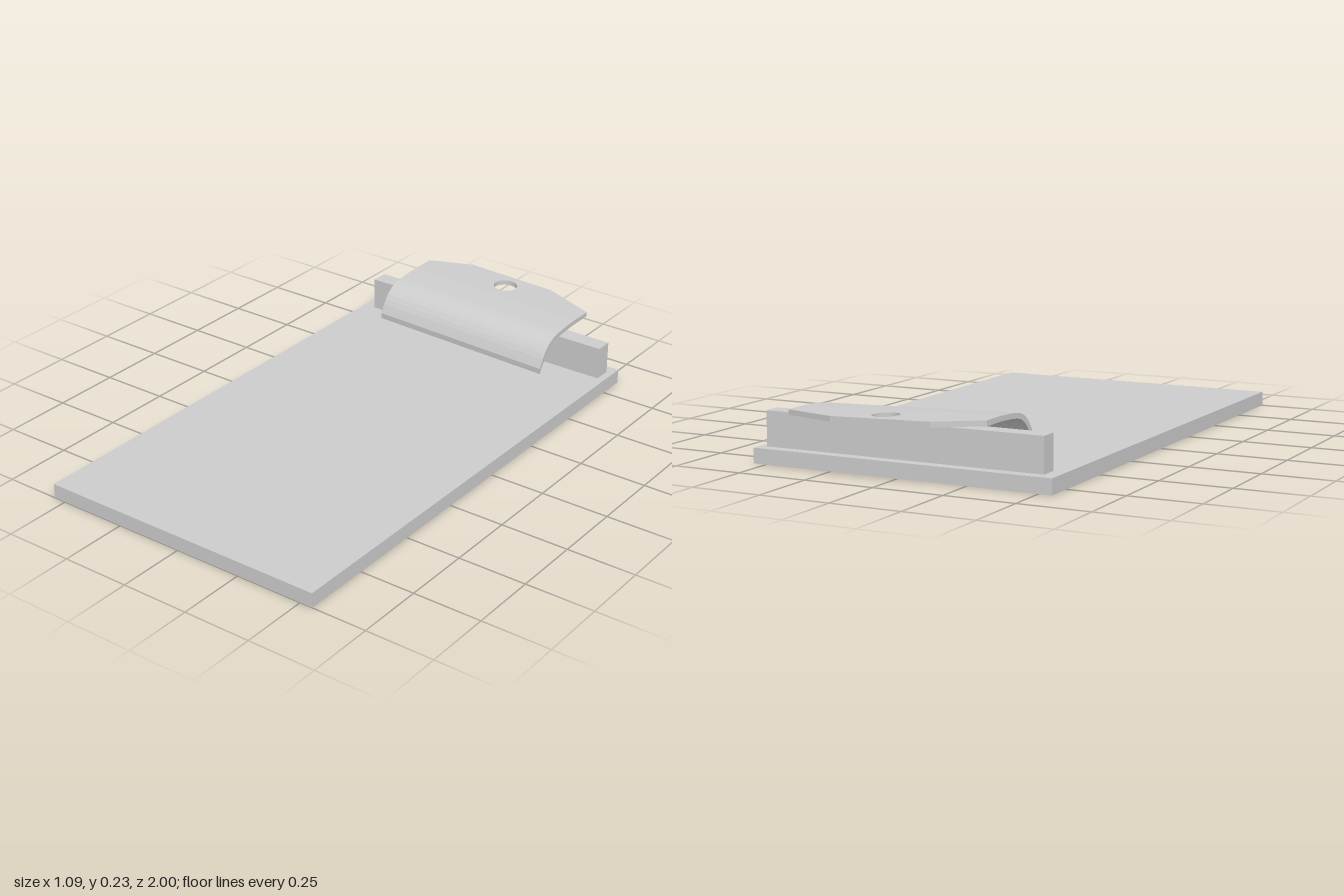
import * as THREE from 'three';

const material = new THREE.MeshStandardMaterial({ color: 0xcccccc, flatShading: true });

function part(name, geometry, parent) {
  const mesh = new THREE.Mesh(geometry, material);
  mesh.name = name;
  parent.add(mesh);
  return mesh;
}

// Box given by its minimum and maximum corners
function box(name, min, max, parent) {
  const size = max.map((v, i) => v - min[i]);
  const mesh = part(name, new THREE.BoxGeometry(...size), parent);
  mesh.position.set(...max.map((v, i) => (v + min[i]) / 2));
}

const points = (list) => list.map(([x, y]) => new THREE.Vector2(x, y));

export function createModel() {
  const model = new THREE.Group();
  model.name = 'clipboard';

  box('board', [-0.547, 0, -0.85], [0.547, 0.053, 1], model);
  box('clipBar', [-0.5, 0.053, -0.81], [0.52, 0.174, -0.745], model);

  // Clip, leaning slightly to one side
  const clip = new THREE.Group();
  clip.name = 'clip';
  clip.rotation.z = -0.03;
  model.add(clip);
  const left = -0.37, right = 0.35, seam = 0.83, top = 0.218, thickness = 0.018;

  // Curved lip: profile in (-z, y), swept across the width
  const outer = new THREE.SplineCurve(points([
    [0.609, 0.107], [0.628, 0.148], [0.658, 0.184], [0.7, 0.206], [0.76, 0.214], [seam, top],
  ])).getPoints(12);
  const inner = new THREE.SplineCurve(points([
    [seam, top - thickness], [0.76, 0.196], [0.705, 0.188], [0.668, 0.167], [0.638, 0.132], [0.611, 0.085],
  ])).getPoints(12);
  const lip = new THREE.ExtrudeGeometry(new THREE.Shape([...outer, ...inner]), {
    depth: right - left, bevelEnabled: false,
  });
  lip.rotateY(Math.PI / 2);
  lip.translate(left, 0, 0);
  part('clipLip', lip, clip);

  // Flat press plate with cut corners and a hanging hole, drawn in (x, -z)
  const outline = new THREE.Shape(points([
    [left, seam], [right, seam], [right, 0.925], [0.145, 1], [-0.215, 1], [left, 0.925],
  ]));
  const hole = new THREE.Path();
  hole.absarc(-0.012, 0.923, 0.045, 0, Math.PI * 2, true);
  outline.holes.push(hole);
  const plate = new THREE.ExtrudeGeometry(outline, {
    depth: thickness, bevelEnabled: false, curveSegments: 24,
  });
  plate.rotateX(-Math.PI / 2);
  plate.translate(0, top - thickness, 0);
  part('clipPlate', plate, clip);

  return model;
}
